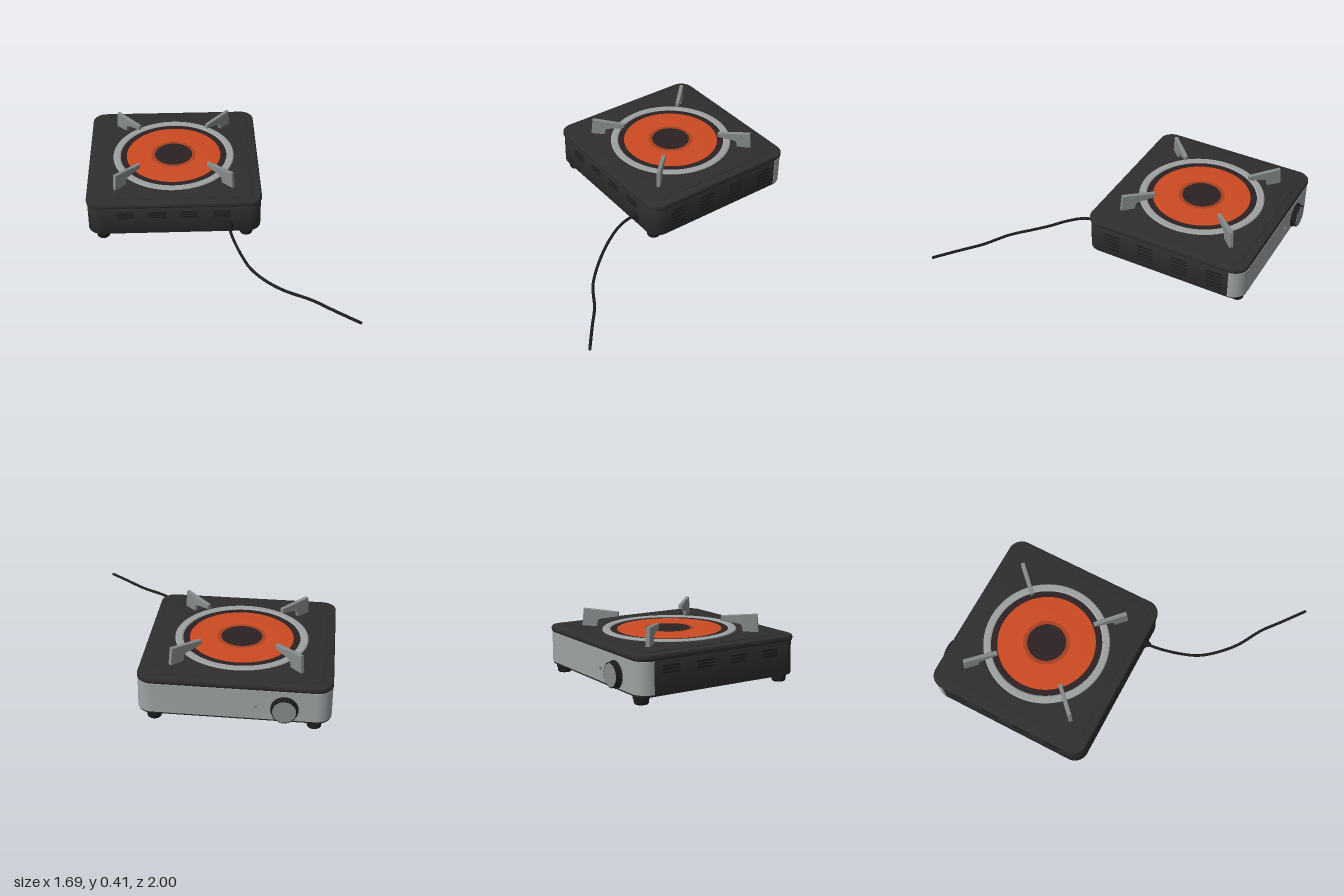
import * as THREE from 'three';
import { toCreasedNormals } from 'three/addons/utils/BufferGeometryUtils.js';

const mat = (name, color, side = THREE.FrontSide) => {
  const m = new THREE.MeshStandardMaterial({ color, side });
  m.name = name;
  return m;
};

// Rounded rectangle with half sizes w, h and corner radius r
function roundedRect(w, h, r) {
  const s = new THREE.Shape();
  s.absarc(w - r, h - r, r, 0, Math.PI / 2);
  s.absarc(-w + r, h - r, r, Math.PI / 2, Math.PI);
  s.absarc(-w + r, -h + r, r, Math.PI, Math.PI * 1.5);
  s.absarc(w - r, -h + r, r, Math.PI * 1.5, Math.PI * 2);
  s.closePath();
  return s;
}

// Horizontal slab from y0 to y1; the outline's y axis becomes -z
function slab(shape, y0, y1, bevel = 0) {
  const g = new THREE.ExtrudeGeometry(shape, {
    depth: y1 - y0 - 2 * bevel, curveSegments: 10, bevelEnabled: bevel > 0,
    bevelThickness: bevel, bevelSize: bevel, bevelOffset: -bevel, bevelSegments: 4,
  });
  g.rotateX(-Math.PI / 2).translate(0, y0 + bevel, 0);
  return toCreasedNormals(g, 0.6);
}

function lathe(points, segments = 64) {
  const g = new THREE.LatheGeometry(points.map(([r, y]) => new THREE.Vector2(r, y)), segments);
  return toCreasedNormals(g, 0.5);
}

export function createModel() {
  const black = mat('bodyBlack', 0x2e2e2e);
  const rubber = mat('rubberBlack', 0x1d1d1d);
  const steel = mat('brightSteel', 0x9da1a2);
  const grey = mat('supportGrey', 0x868a8a);
  const orange = mat('glowOrange', 0xcc4a22);
  const ember = mat('emberOrange', 0xa84020);
  const brown = mat('burnerBrown', 0x2c2122);

  const root = new THREE.Group();
  const stove = new THREE.Group();
  stove.name = 'stove';
  stove.position.set(-0.27, 0, -0.41);
  root.add(stove);
  const add = (name, geometry, material, parent = stove) => {
    const m = new THREE.Mesh(geometry, material);
    m.name = name;
    parent.add(m);
    return m;
  };

  // Housing, lid and raised top panel
  const W = 0.57, H = 0.549, R = 0.09;
  add('housing', slab(roundedRect(W, H, R), 0.055, 0.262, 0.004), black);
  add('lid', slab(roundedRect(W + 0.006, H + 0.006, R), 0.258, 0.296, 0.013), black);
  add('topPanel', slab(roundedRect(0.52, 0.5, 0.07), 0.294, 0.3, 0.003), black);

  // Control panel wrapping round both rear corners
  const strip = new THREE.Shape();
  const o = 0.004;
  strip.moveTo(W + o, H - R);
  strip.absarc(W - R, H - R, R + o, 0, Math.PI / 2);
  strip.absarc(-W + R, H - R, R + o, Math.PI / 2, Math.PI);
  strip.absarc(-W + R, H - R, R - o, Math.PI, Math.PI / 2, true);
  strip.absarc(W - R, H - R, R - o, Math.PI / 2, 0, true);
  strip.closePath();
  add('controlPanel', slab(strip, 0.067, 0.257), steel);

  // Feet
  const footGeo = lathe([[0, 0], [0.036, 0], [0.042, 0.006], [0.044, 0.03], [0.048, 0.032], [0.048, 0.058], [0, 0.058]], 32);
  for (const sx of [-1, 1]) for (const sz of [-1, 1]) {
    add('foot', footGeo, rubber).position.set(sx * 0.474, 0, sz * 0.487);
  }

  // Burner: dark dish, steel ring, glowing plate, centre cap
  add('burnerDish', lathe([[0.37, 0.299], [0.37, 0.302], [0, 0.302]]), brown);
  add('burnerRing', lathe([[0.363, 0.298], [0.413, 0.298], [0.413, 0.304], [0.407, 0.309], [0.371, 0.309], [0.363, 0.304], [0.363, 0.298]], 80), steel);
  add('heatingPlate', lathe([[0.323, 0.301], [0.321, 0.304], [0.29, 0.306], [0.15, 0.306]]), orange);
  add('innerRing', lathe([[0.153, 0.306], [0.125, 0.306]]), ember);
  add('centreCap', lathe([[0.127, 0.304], [0.127, 0.307], [0, 0.307]]), brown);

  // Four diagonal pan supports
  const arm = new THREE.Shape();
  arm.moveTo(0.557, 0.297);
  arm.lineTo(0.546, 0.41);
  arm.lineTo(0.465, 0.404);
  arm.lineTo(0.325, 0.393);
  arm.lineTo(0.325, 0.363);
  arm.lineTo(0.435, 0.345);
  arm.quadraticCurveTo(0.454, 0.341, 0.456, 0.325);
  arm.lineTo(0.461, 0.297);
  arm.closePath();
  const armGeo = new THREE.ExtrudeGeometry(arm, {
    depth: 0.02, bevelEnabled: true, bevelSize: 0.003, bevelThickness: 0.003, bevelOffset: -0.003, bevelSegments: 1,
  }).translate(0, 0, -0.01);
  for (let i = 0; i < 4; i++) {
    add('panSupport', armGeo, grey).rotation.y = Math.PI / 4 + i * Math.PI / 2;
  }

  // Vent slots on three sides, in four groups each
  const slotGeo = new THREE.ExtrudeGeometry(roundedRect(0.057, 0.0055, 0.0054), { depth: 0.003, bevelEnabled: false, curveSegments: 4 });
  function vents(name, angle, distance, start, step, rows, top, pitch) {
    const side = new THREE.Group();
    side.name = name;
    side.rotation.y = angle;
    for (let i = 0; i < 4; i++) for (let j = 0; j < rows; j++) {
      add('ventSlot', slotGeo, rubber, side).position.set(start + i * step, top - j * pitch, distance - 0.001);
    }
    stove.add(side);
  }
  vents('frontVents', 0, H, -0.32, 0.21, 3, 0.222, 0.0185);
  vents('leftVents', Math.PI / 2, W, -0.36, 0.24, 5, 0.216, 0.027);
  vents('rightVents', -Math.PI / 2, W, -0.345, 0.23, 3, 0.222, 0.0185);

  // Fluted knob and indicator lamp on the control panel
  const knob = new THREE.Group();
  knob.name = 'knob';
  knob.position.set(-0.3, 0.143, -H - 0.002);
  knob.rotation.x = -Math.PI / 2;
  stove.add(knob);
  add('knobBase', lathe([[0.082, 0], [0.082, 0.01], [0.077, 0.014], [0, 0.014]], 48), rubber, knob);
  const grip = new THREE.Shape();
  for (let i = 0; i < 72; i++) {
    const a = i / 72 * Math.PI * 2, r = i % 3 ? 0.075 : 0.071;
    grip[i ? 'lineTo' : 'moveTo'](r * Math.cos(a), r * Math.sin(a));
  }
  grip.closePath();
  add('knobGrip', slab(grip, 0.012, 0.037), rubber, knob);
  add('knobFace', new THREE.CylinderGeometry(0.068, 0.07, 0.004, 48).translate(0, 0.037, 0), grey, knob);
  const lamp = add('indicatorLamp', new THREE.CylinderGeometry(0.011, 0.013, 0.012, 20), grey);
  lamp.position.set(-0.13, 0.15, -H - 0.007);
  lamp.rotation.x = -Math.PI / 2;

  // Cord grommet and power cord
  const grommet = add('cordGrommet', lathe([[0.031, 0], [0.031, 0.012], [0.022, 0.015], [0.015, 0.034], [0, 0.034]], 28), rubber, root);
  grommet.position.set(0.088, 0.115, 0.136);
  grommet.rotation.x = Math.PI / 2;
  const path = new THREE.CatmullRomCurve3([
    [0.088, 0.115, 0.14], [0.09, 0.113, 0.2], [0.11, 0.1, 0.29], [0.155, 0.062, 0.4], [0.206, 0.027, 0.487],
    [0.29, 0.011, 0.585], [0.4, 0.01, 0.683], [0.57, 0.01, 0.783], [0.69, 0.01, 0.878], [0.838, 0.01, 0.992],
  ].map(p => new THREE.Vector3(...p)));
  add('powerCord', new THREE.TubeGeometry(path, 90, 0.0095, 10), rubber, root);
  const end = add('cordEnd', new THREE.SphereGeometry(0.0095, 10, 8), rubber, root);
  end.position.set(0.838, 0.01, 0.991);

  return root;
}
